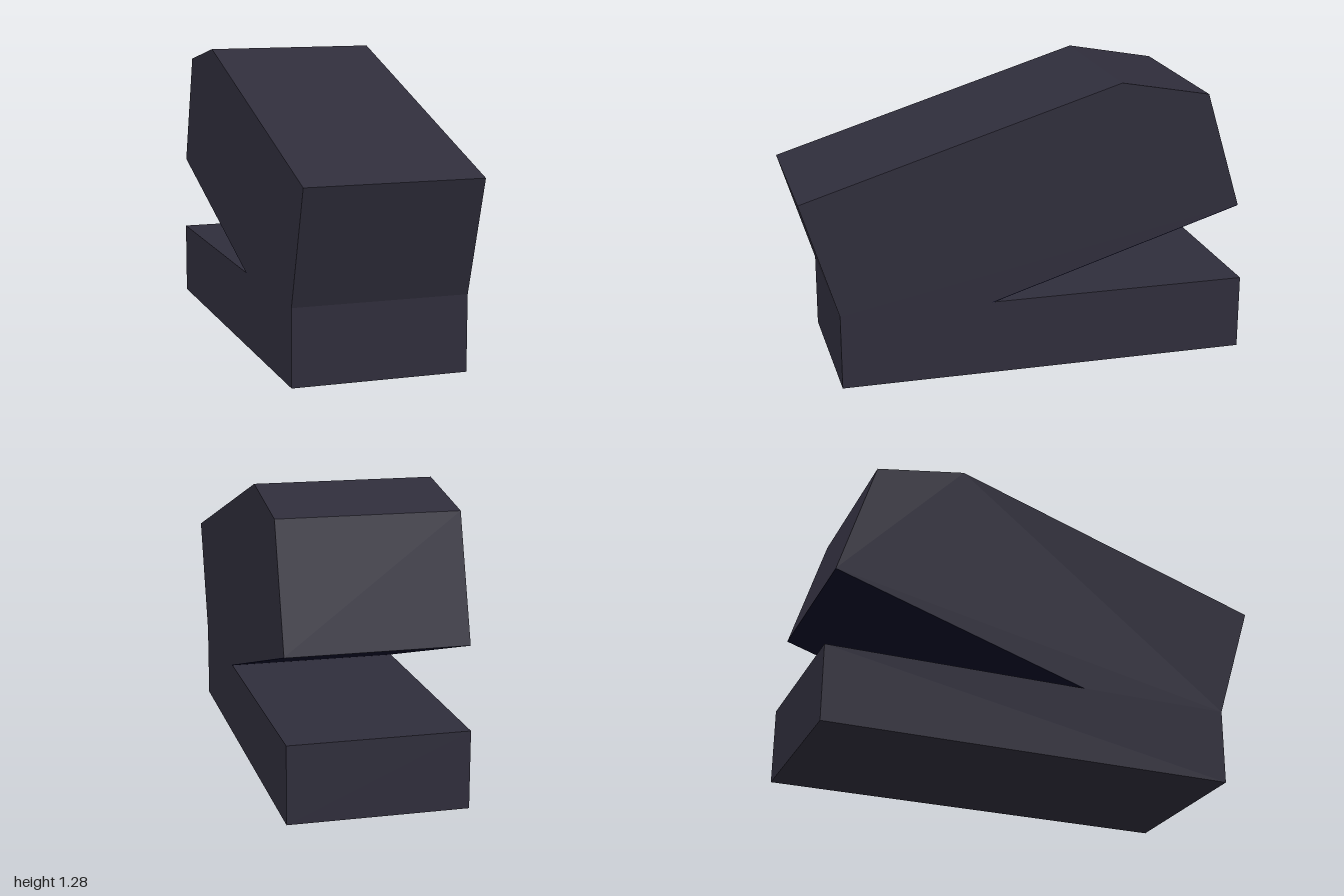
import * as THREE from 'three';

const WIDTH = 0.77;

function material(name, color) {
  const m = new THREE.MeshStandardMaterial({ color });
  m.name = name;
  return m;
}

// Extrudes a side outline of [z, y] points across the model's width
function slab(name, outline, mat) {
  const shape = new THREE.Shape(outline.map(([z, y]) => new THREE.Vector2(z, y)));
  const geometry = new THREE.ExtrudeGeometry(shape, { depth: WIDTH, bevelEnabled: false });
  geometry.translate(0, 0, -WIDTH / 2).rotateY(-Math.PI / 2);
  const mesh = new THREE.Mesh(geometry, mat);
  mesh.name = name;
  return mesh;
}

export function createModel() {
  const group = new THREE.Group();
  group.name = 'hingedClip';
  const charcoal = material('charcoal', 0x2f2d3b);
  const midnight = material('midnight blue', 0x0c0c26);

  // Flat base
  group.add(slab('base', [[0.84, 0], [0.84, 0.335], [-1, 0.335], [-1, 0]], charcoal));

  // Raised arm with a chamfered rear top, its foot resting on the base
  const inner = [0.17, 0.335], tip = [-0.97, 0.69];
  group.add(slab('upperArm', [
    [0.84, 0.335], [1, 0.85], [-0.41, 1.285], [-0.81, 1.21], tip, inner,
  ], charcoal));

  // Dark face under the arm
  const offset = ([z, y]) => [z - 0.001, y - 0.003];
  group.add(slab('armUnderside', [inner, tip, offset(tip), offset(inner)], midnight));

  return group;
}
